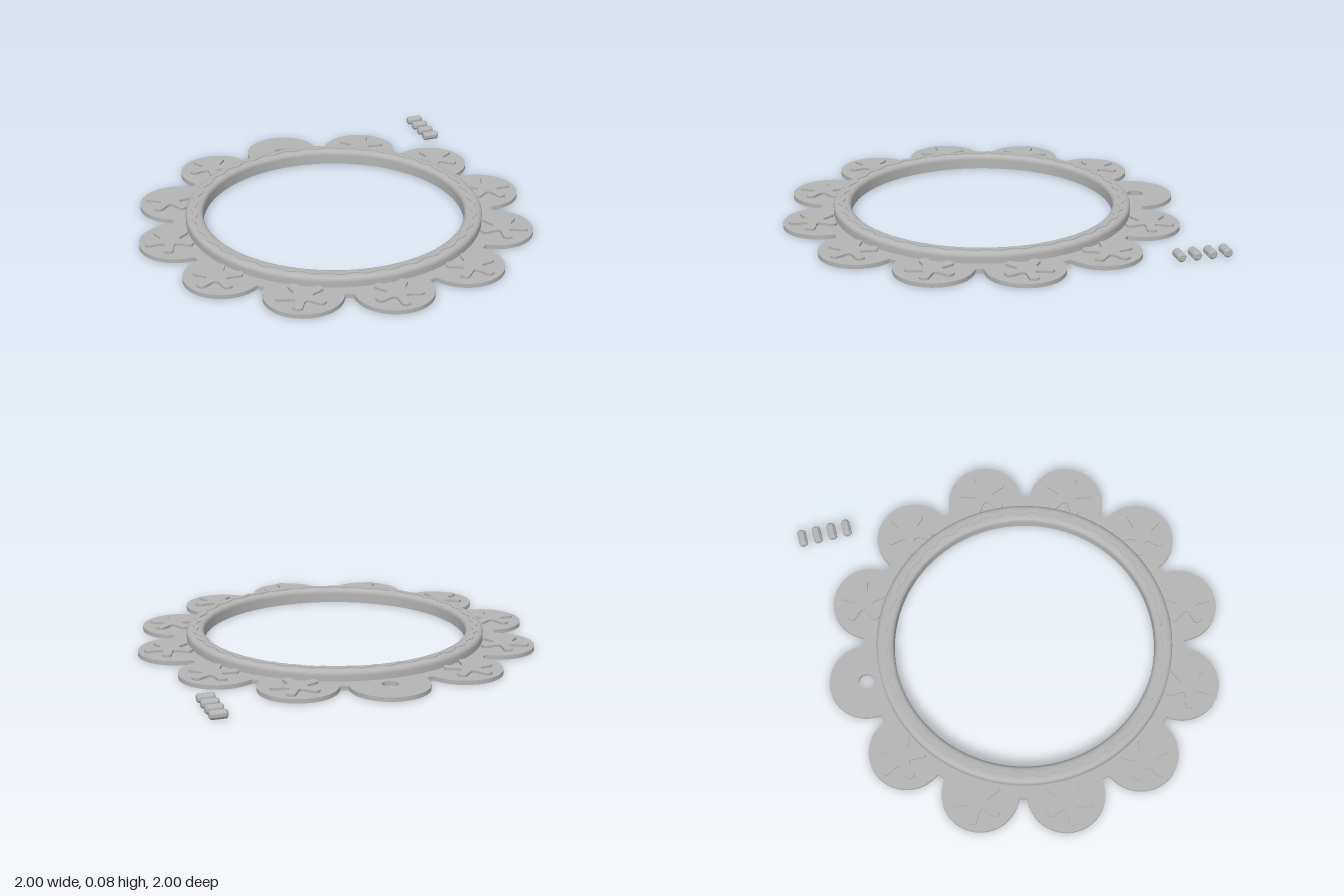
import * as THREE from 'three';
import { toCreasedNormals } from 'three/addons/utils/BufferGeometryUtils.js';

const PETALS = 12, STEP = Math.PI * 2 / PETALS;
const INNER = 0.655, OUTER = 0.742, PEG_R = 0.022;

export function createModel() {
  const group = new THREE.Group();
  const gray = new THREE.MeshStandardMaterial({ color: 0xb4b4b4 });
  gray.name = 'plain gray';

  const add = (name, geometry, x = 0, y = 0, z = 0) => {
    const mesh = new THREE.Mesh(toCreasedNormals(geometry, 0.6), gray);
    mesh.name = name;
    mesh.position.set(x, y, z);
    group.add(mesh);
    return mesh;
  };
  // Flat slab with its outline on the ground plane
  const slab = (shape, depth) =>
    new THREE.ExtrudeGeometry(shape, { depth, bevelEnabled: false, curveSegments: 64 }).rotateX(-Math.PI / 2);
  const circle = (x, y, r, n) => new THREE.Path(Array.from({ length: n }, (_, i) => {
    const a = i / n * Math.PI * 2;
    return new THREE.Vector2(x + r * Math.cos(a), y + r * Math.sin(a));
  }));
  // Three peg sockets under the ring, one of them at the back
  const sockets = () => [90, 210, 330].map(d => {
    const a = THREE.MathUtils.degToRad(d);
    return circle(0.7 * Math.cos(a), 0.7 * Math.sin(a), PEG_R, 24);
  });

  // Flower-shaped base plate with the hanging hole in the back petal
  const outline = [];
  for (let i = 0; i < PETALS; i++) {
    const local = [[0.782, -0.19]];
    for (let k = 0; k <= 32; k++) {
      const t = -Math.PI / 2 + k / 32 * Math.PI;
      local.push([0.81 + 0.19 * Math.cos(t), 0.19 * Math.sin(t)]);
    }
    local.push([0.782, 0.19]);
    const c = Math.cos(i * STEP), s = Math.sin(i * STEP);
    for (const [u, v] of local) outline.push(new THREE.Vector2(u * c - v * s, u * s + v * c));
  }
  const plate = new THREE.Shape(outline);
  plate.holes.push(circle(0, 0, INNER, 128), circle(0, 0.815, 0.04, 32), ...sockets());
  add('petalPlate', slab(plate, 0.021));

  // Lower ring wall, pierced by the sockets
  const wall = new THREE.Shape(circle(0, 0, OUTER, 128).getPoints());
  wall.holes.push(circle(0, 0, INNER, 128), ...sockets());
  add('ringWall', slab(wall, 0.025), 0, 0.021);

  // Rounded ring top
  const profile = [
    [INNER, 0.046], [OUTER, 0.046], [OUTER, 0.056], [0.738, 0.064], [0.731, 0.07], [0.722, 0.073],
    [0.675, 0.073], [0.666, 0.07], [0.659, 0.064], [INNER, 0.056], [INNER, 0.046],
  ].map(p => new THREE.Vector2(...p));
  add('ringTop', new THREE.LatheGeometry(profile, 128));

  // Thin wavy trim on the ring
  const wave = r => Array.from({ length: 288 }, (_, i) => {
    const a = i / 288 * Math.PI * 2, w = r + 0.008 * Math.sin(36 * a);
    return new THREE.Vector2(w * Math.cos(a), w * Math.sin(a));
  });
  const trim = new THREE.Shape(wave(0.71));
  trim.holes.push(new THREE.Path(wave(0.688)));
  add('wavyTrim', slab(trim, 0.005), 0, 0.072);

  // Starfish on every petal except the back one
  const star = new THREE.Shape(new THREE.CatmullRomCurve3(
    Array.from({ length: 5 }, (_, i) => [[-0.16, 0.118], [0.16, 0.118], [0.628, 0.048]].map(([da, r]) => {
      const a = i * Math.PI * 0.4 + da;
      return new THREE.Vector3(r * Math.cos(a), r * Math.sin(a), 0);
    })).flat(), true).getPoints(75).slice(0, -1).map(p => new THREE.Vector2(p.x, p.y)));
  const starGeometry = slab(star, 0.012);
  for (let i = 0; i < PETALS; i++) {
    if (i === PETALS / 4) continue;
    const a = i * STEP;
    add('star', starGeometry, 0.85 * Math.cos(a), 0.021, -0.85 * Math.sin(a)).rotation.y = a;
  }

  // Four loose pegs with chamfered ends
  const pegProfile = [[0, -0.042], [0.015, -0.042], [PEG_R, -0.034], [PEG_R, 0.034], [0.015, 0.042], [0, 0.042]]
    .map(p => new THREE.Vector2(...p));
  const peg = new THREE.LatheGeometry(pegProfile, 24).rotateZ(-Math.PI / 2);
  for (let i = 0; i < 4; i++) add('peg', peg, 0.845, PEG_R, -0.733 - i * 0.077);

  return group;
}
